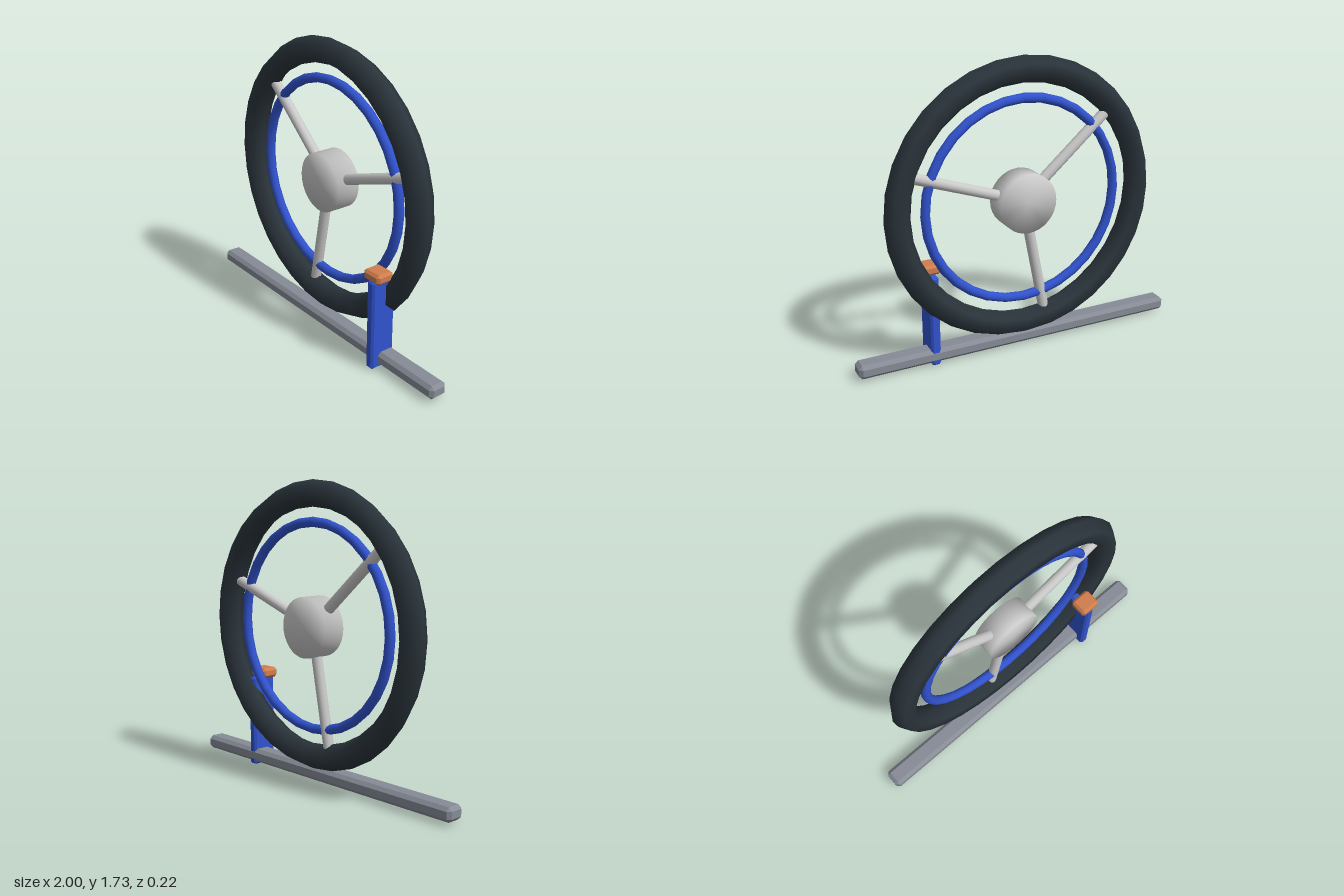
import * as THREE from 'three';
import { mergeVertices } from 'three/addons/utils/BufferGeometryUtils.js';
import { ConvexGeometry } from 'three/addons/geometries/ConvexGeometry.js';

const material = (name, color) => {
  const m = new THREE.MeshStandardMaterial({ color });
  m.name = name;
  return m;
};

// Box with chamfered edges, given by its minimum and maximum corners
function chamferBox([x0, y0, z0], [x1, y1, z1], c) {
  const half = [(x1 - x0) / 2, (y1 - y0) / 2, (z1 - z0) / 2];
  const points = [];
  for (const sx of [-1, 1]) for (const sy of [-1, 1]) for (const sz of [-1, 1]) {
    for (let axis = 0; axis < 3; axis++) {
      const p = half.map((h, i) => (i === axis ? h : h - c));
      points.push(new THREE.Vector3(sx * p[0], sy * p[1], sz * p[2]));
    }
  }
  const g = new ConvexGeometry(points);
  g.translate((x0 + x1) / 2, (y0 + y1) / 2, (z0 + z1) / 2);
  return g;
}

// Cylinder whose caps blend smoothly into its side
function softCylinder(radius, length, sides) {
  const g = new THREE.CylinderGeometry(radius, radius, length, sides);
  g.deleteAttribute('normal');
  g.deleteAttribute('uv');
  const merged = mergeVertices(g, 1e-4);
  merged.computeVertexNormals();
  return merged;
}

export function createModel() {
  const model = new THREE.Group();
  model.name = 'wheelOnStand';

  const rubber = material('dark rubber', 0x2a343b);
  const blue = material('blue paint', 0x3153cf);
  const silver = material('light silver', 0xc9c9c9);
  const grey = material('grey metal', 0x868b95);
  const copper = material('copper orange', 0xcf7d4c);

  const add = (parent, name, geometry, mat) => {
    const mesh = new THREE.Mesh(geometry, mat);
    mesh.name = name;
    parent.add(mesh);
    return mesh;
  };

  // Wheel
  const wheel = new THREE.Group();
  wheel.name = 'wheel';
  wheel.position.set(0, 0.91, -0.042);
  model.add(wheel);
  add(wheel, 'tyre', new THREE.TorusGeometry(0.745, 0.075, 6, 32), rubber);
  add(wheel, 'innerRing', new THREE.TorusGeometry(0.587, 0.028, 8, 32), blue);
  add(wheel, 'hub', softCylinder(0.173, 0.14, 32).rotateX(Math.PI / 2), silver);

  // Three spokes from the hub into the tyre
  const inner = 0.1, outer = 0.69;
  for (let i = 0; i < 3; i++) {
    const angle = THREE.MathUtils.degToRad(19 + 120 * i);
    const g = softCylinder(0.031, outer - inner, 12);
    g.translate(0, (inner + outer) / 2, 0);
    add(wheel, 'spoke' + (i + 1), g, silver).rotation.z = angle - Math.PI / 2;
  }

  // Base rail, upright post and its cap
  add(model, 'baseRail', chamferBox([-1, 0.016, -0.046], [1, 0.097, 0.068], 0.02), grey);
  add(model, 'post', chamferBox([0.519, 0, -0.044], [0.576, 0.545, 0.112], 0.012), blue);
  add(model, 'postCap', chamferBox([0.484, 0.538, 0], [0.612, 0.598, 0.112], 0.015), copper);

  return model;
}
